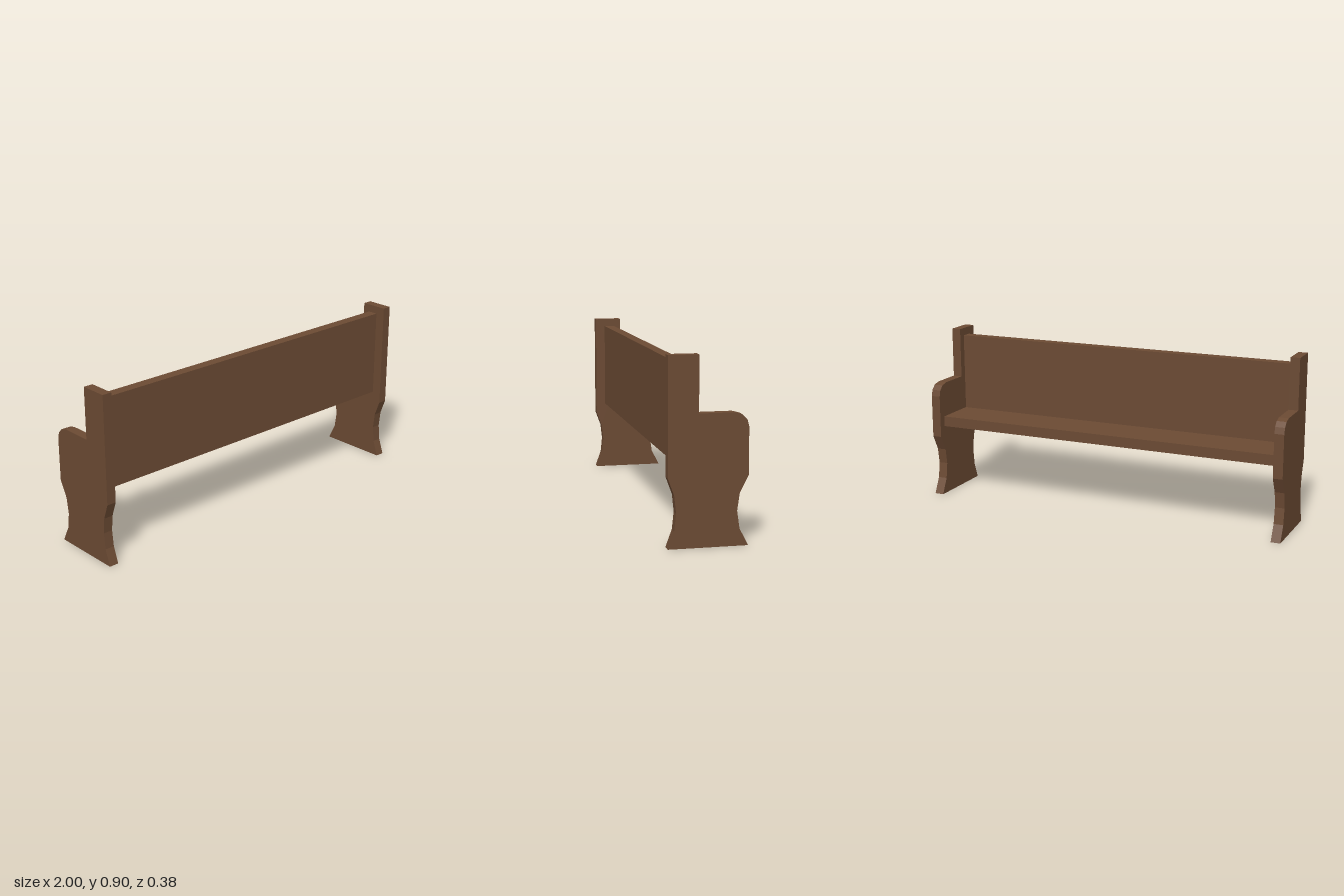
import * as THREE from 'three';

export function createModel() {
  const bench = new THREE.Group();
  bench.name = 'bench';
  const wood = new THREE.MeshStandardMaterial({ color: 0x6b4a33 });
  wood.name = 'brown wood';

  const add = (name, geometry, x, y, z) => {
    const mesh = new THREE.Mesh(geometry, wood);
    mesh.name = name;
    mesh.position.set(x, y, z);
    bench.add(mesh);
  };

  const endWidth = 0.05;
  const span = 2 - 2 * endWidth;

  // End panel outline as [-z, y]: waisted foot, tall back post, rounded armrest
  const outline = [
    [0.19, 0], [0.148, 0.083], [0.136, 0.167], [0.148, 0.25], [0.19, 0.332],
    [0.19, 0.56], [0.181, 0.593], [0.157, 0.617], [0.12, 0.627],
    [-0.047, 0.627], [-0.047, 0.896], [-0.192, 0.896],
    [-0.192, 0.332], [-0.162, 0.25], [-0.153, 0.167], [-0.162, 0.083], [-0.192, 0],
  ];
  const shape = new THREE.Shape(outline.map(([u, y]) => new THREE.Vector2(u, y)));
  const endPanel = new THREE.ExtrudeGeometry(shape, { depth: endWidth, bevelEnabled: false });
  endPanel.rotateY(Math.PI / 2); // extrusion runs along +x
  add('rightEndPanel', endPanel, -1, 0, 0);
  add('leftEndPanel', endPanel, 1 - endWidth, 0, 0);

  // Backrest board and seat plank between the ends
  add('backrest', new THREE.BoxGeometry(span, 0.47, 0.055), 0, 0.62, 0.1125);
  add('seat', new THREE.BoxGeometry(span, 0.055, 0.235), 0, 0.4125, -0.0325);

  return bench;
}
